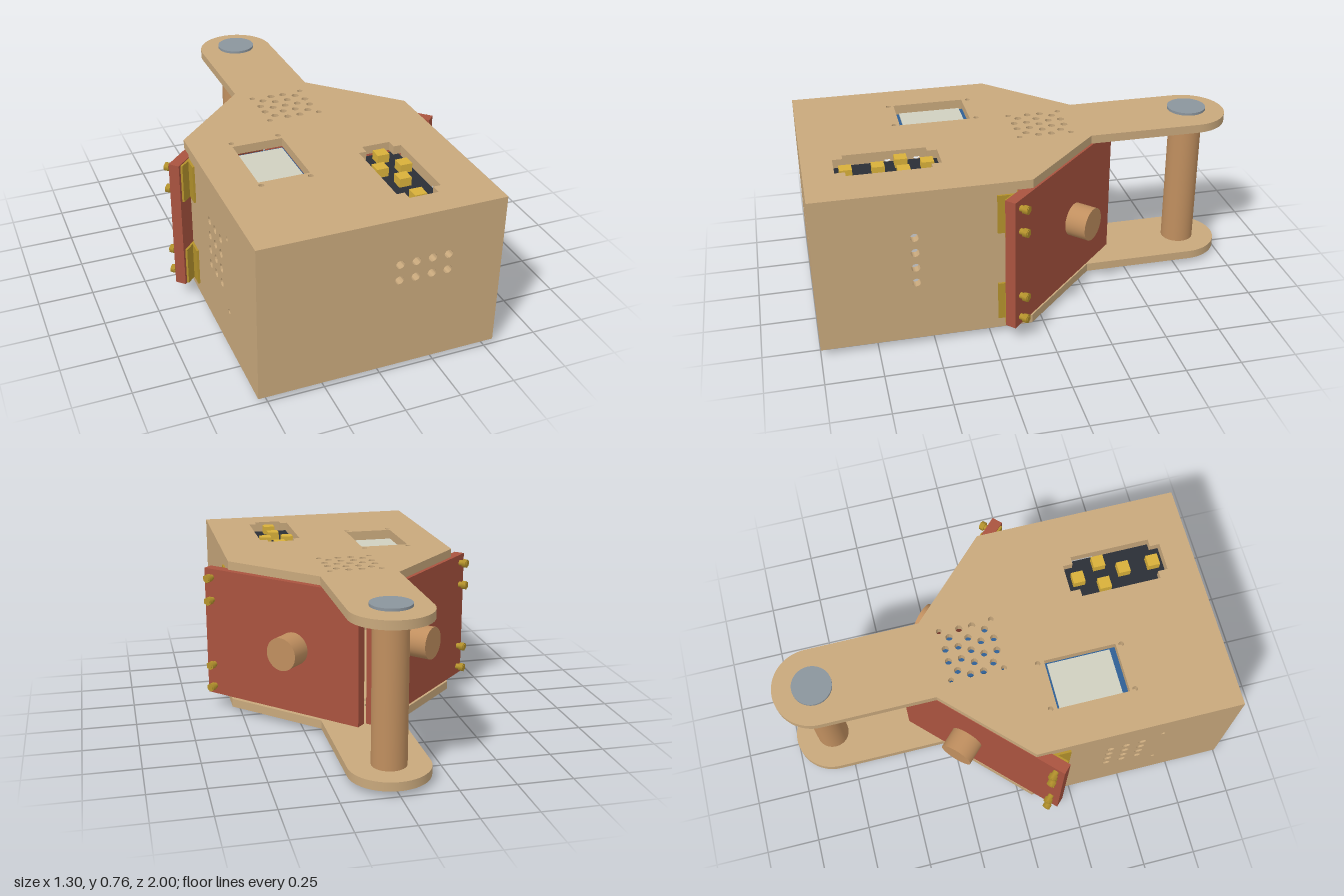
import * as THREE from 'three';
import { toCreasedNormals } from 'three/addons/utils/BufferGeometryUtils.js';

const mat = (color) => new THREE.MeshStandardMaterial({ color });
const wood = mat(0xc8a87c), postWood = mat(0xc08f5f), red = mat(0xa9533f), brass = mat(0xb4922c);
const steel = mat(0x8b959d), dark = mat(0x2a2e36), gold = mat(0xd8b03a), blue = mat(0x2f5f94);
const glass = mat(0xd0d0c0), grey = mat(0xcccccc);

const BOTTOM = 0.025, TOP = 0.745, T = 0.04, MID = 0.385;

function add(parent, name, geometry, material, x = 0, y = 0, z = 0) {
  const mesh = new THREE.Mesh(geometry, material);
  mesh.name = name;
  mesh.position.set(x, y, z);
  parent.add(mesh);
  return mesh;
}
const box = (w, h, d) => new THREE.BoxGeometry(w, h, d);

function drill(shape, x, y, r) {
  shape.holes.push(new THREE.Path().absarc(x, y, r, 0, Math.PI * 2, true));
}
function cut(shape, points) {
  shape.holes.push(new THREE.Path(points.map(([x, y]) => new THREE.Vector2(x, y))));
}
function extrude(shape) {
  const g = new THREE.ExtrudeGeometry(shape, { depth: T, bevelEnabled: false, curveSegments: 16 });
  return toCreasedNormals(g, 0.6);
}
function rect(x0, y0, x1, y1) {
  return new THREE.Shape([[x0, y0], [x1, y0], [x1, y1], [x0, y1]].map((p) => new THREE.Vector2(...p)));
}

// Floor plan shared by both plates; shape y is -z
function plateShape() {
  const s = new THREE.Shape();
  s.moveTo(-0.54, -1);
  s.lineTo(0.54, -1);
  s.lineTo(0.54, -0.06);
  s.lineTo(0.18, 0.3);
  s.lineTo(0.18, 0.82);
  s.absarc(0, 0.82, 0.18, 0, Math.PI, false);
  s.lineTo(-0.18, 0.3);
  s.lineTo(-0.54, -0.06);
  s.closePath();
  return s;
}

function topPlate() {
  const s = plateShape();
  // Round grille
  drill(s, 0, 0.1, 0.016);
  for (const [n, r, start] of [[6, 0.06, 0], [12, 0.115, Math.PI / 12]]) {
    for (let i = 0; i < n; i++) {
      const a = start + (i / n) * Math.PI * 2;
      drill(s, r * Math.cos(a), 0.1 + r * Math.sin(a), 0.016);
    }
  }
  for (const x of [-0.12, 0.12]) for (const z of [-0.22, 0.02]) drill(s, x, -z, 0.013);
  // Screen window and its screw holes
  cut(s, [[-0.36, -0.2], [-0.13, -0.2], [-0.13, -0.53], [-0.36, -0.53]]);
  for (const x of [-0.355, -0.137]) for (const z of [0.17, 0.555]) drill(s, x, -z, 0.012);
  // Stepped button opening
  cut(s, [[0.165, -0.405], [0.295, -0.405], [0.295, -0.45], [0.33, -0.45], [0.33, -0.82], [0.295, -0.82],
    [0.295, -0.865], [0.165, -0.865], [0.165, -0.82], [0.13, -0.82], [0.13, -0.45], [0.165, -0.45]]);
  return extrude(s).rotateX(-Math.PI / 2);
}

function bottomPlate() {
  const s = plateShape();
  for (let i = -2; i <= 2; i++) for (const z of [0.915, -0.095, -0.165]) drill(s, i * 0.073, -z, 0.016);
  for (const x of [-0.455, 0.455]) for (const z of [0.26, 0.92]) drill(s, x, -z, 0.011);
  cut(s, [[0.3, -0.1], [0.365, -0.1], [0.365, -0.165], [0.3, -0.165]]);
  for (const x of [0.23, 0.43]) drill(s, x, -0.135, 0.011);
  return extrude(s).rotateX(-Math.PI / 2);
}

function door(side) {
  const g = new THREE.Group();
  g.name = side > 0 ? 'leftDoor' : 'rightDoor';
  // Origin on the middle of the outer face, local +z pointing outwards
  g.position.set(side * 0.34, MID, -0.14);
  g.rotation.y = side * Math.PI * 0.75;
  add(g, 'doorPanel', box(0.848, 0.62, 0.05), red, 0, 0, -0.025);
  const knob = new THREE.CylinderGeometry(0.077, 0.077, 0.11, 40).rotateX(Math.PI / 2);
  add(g, 'knob', knob, postWood, side * 0.078, 0, 0.045);
  for (const y of [0.27, 0.16, -0.16, -0.27]) {
    const bolt = new THREE.CylinderGeometry(0.014, 0.014, 0.045, 16).rotateX(Math.PI / 2);
    add(g, 'hingeBolt', bolt, brass, side * -0.382, y, 0.02);
    const nut = new THREE.CylinderGeometry(0.021, 0.021, 0.022, 6).rotateX(Math.PI / 2);
    add(g, 'hingeNut', nut, brass, side * -0.382, y, 0.029);
  }
  for (const y of [0.215, -0.218]) {
    add(g, 'doorHingeLeaf', box(0.1, 0.18, 0.01), brass, side * -0.36, y, -0.055);
  }
  return g;
}

export function createModel() {
  const model = new THREE.Group();
  model.name = 'house';

  // Plates
  add(model, 'topPlate', topPlate(), wood, 0, TOP - T, 0);
  add(model, 'bottomPlate', bottomPlate(), wood, 0, BOTTOM, 0);

  // Front wall with two rows of holes
  const y0 = BOTTOM + T, y1 = TOP - T;
  const front = rect(-0.54, y0, 0.54, y1);
  for (let i = 0; i < 4; i++) for (const y of [0.455, 0.53]) drill(front, 0.07 + i * 0.0725, y, 0.019);
  add(model, 'frontWall', extrude(front), wood, 0, 0, 1 - T);

  // Side walls; shape x is -z
  for (const side of [1, -1]) {
    const wall = rect(-(1 - T), y0, -0.13, y1);
    const columns = side > 0 ? [0.57] : [0.41, 0.485, 0.56];
    for (const z of columns) for (let i = 0; i < 4; i++) drill(wall, -z, 0.31 + i * 0.0735, 0.019);
    if (side < 0) for (const y of [0.22, 0.585]) drill(wall, -0.65, y, 0.011);
    const x = side > 0 ? 0.54 - T : -0.54;
    add(model, side > 0 ? 'leftWall' : 'rightWall', extrude(wall).rotateY(Math.PI / 2), wood, x, 0, 0);
    for (const y of [0.6, 0.167]) {
      add(model, 'wallHingeLeaf', box(0.01, 0.18, 0.085), brass, side * 0.545, y, 0.1725);
    }
    model.add(door(side));
  }

  // Rear post with a thin cap beyond each plate
  add(model, 'post', new THREE.CylinderGeometry(0.077, 0.077, y1 - y0, 48), postWood, 0, MID, -0.82);
  for (const y of [0.006, 0.759]) {
    add(model, 'postCap', new THREE.CylinderGeometry(0.09, 0.09, 0.012, 48), steel, 0, y, -0.82);
  }

  // Boards mounted under the top plate
  add(model, 'speakerBoard', box(0.21, 0.02, 0.25), blue, 0, 0.69, -0.1);
  add(model, 'screenBoard', box(0.24, 0.02, 0.34), blue, -0.245, 0.685, 0.365);
  add(model, 'screen', box(0.22, 0.012, 0.29), glass, -0.245, 0.699, 0.36);
  add(model, 'buttonBoard', box(0.2, 0.02, 0.46), dark, 0.23, 0.685, 0.635);
  for (const [x, z] of [[0.23, 0.46], [0.175, 0.57], [0.285, 0.57], [0.23, 0.675], [0.23, 0.815]]) {
    add(model, 'button', box(0.055, 0.04, 0.055), gold, x, 0.715, z);
  }

  // Module behind the side holes
  add(model, 'sideModule', box(0.03, 0.3, 0.1), grey, 0.475, 0.42, 0.57);
  return model;
}
